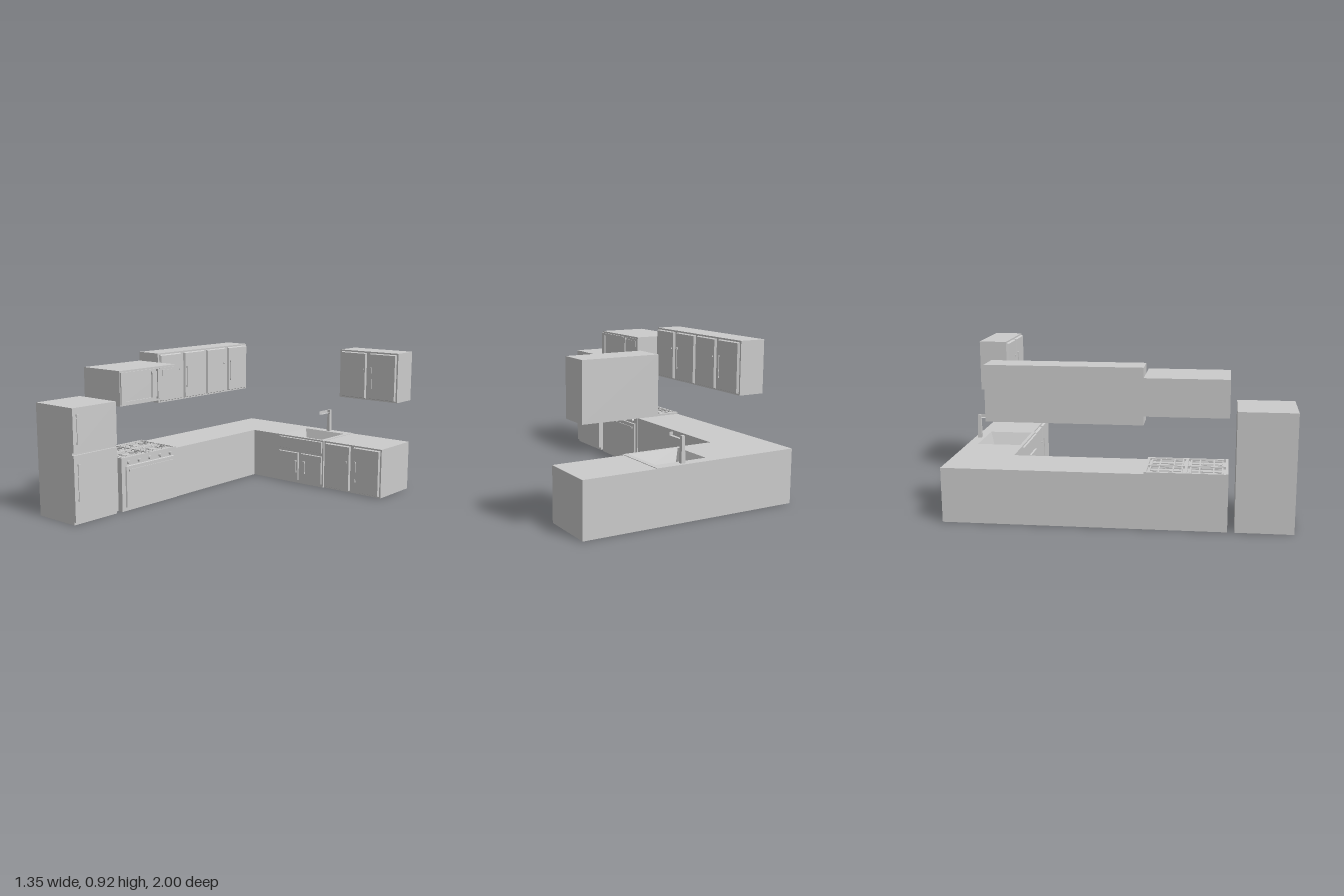
import * as THREE from 'three';

const mat = new THREE.MeshStandardMaterial({ color: 0xcccccc, flatShading: true });
const thin = new THREE.MeshStandardMaterial({ color: 0xcccccc, flatShading: true, side: THREE.DoubleSide });

function add(parent, name, geo, material = mat) {
  const mesh = new THREE.Mesh(geo, material);
  mesh.name = name;
  parent.add(mesh);
  return mesh;
}

// box from its min and max corners
function box(parent, name, x0, x1, y0, y1, z0, z1) {
  const geo = new THREE.BoxGeometry(x1 - x0, y1 - y0, z1 - z0);
  geo.translate((x0 + x1) / 2, (y0 + y1) / 2, (z0 + z1) / 2);
  return add(parent, name, geo);
}

// door slab whose front face is drawn in slightly for a chamfered edge
function slab(parent, name, x0, x1, y0, y1, z0, z1, inset = 0.005) {
  const mesh = box(parent, name, x0, x1, y0, y1, z0, z1);
  const p = mesh.geometry.attributes.position;
  const cx = (x0 + x1) / 2, cy = (y0 + y1) / 2;
  for (let i = 0; i < p.count; i++) {
    if (p.getZ(i) < (z0 + z1) / 2) continue;
    p.setX(i, p.getX(i) - Math.sign(p.getX(i) - cx) * inset);
    p.setY(i, p.getY(i) - Math.sign(p.getY(i) - cy) * inset);
  }
  mesh.geometry.computeVertexNormals();
  return mesh;
}

// upright or level bar handle on two short mounts
function handle(parent, name, x0, x1, y0, y1, z0, z1) {
  const g = new THREE.Group();
  g.name = name;
  const m = (z0 + z1) / 2;
  box(g, 'grip', x0, x1, y0, y1, m, z1);
  if (y1 - y0 > x1 - x0) {
    for (const y of [y0, y1 - 0.012]) box(g, 'mount', x0, x1, y, y + 0.012, z0, m);
  } else {
    for (const x of [x0, x1 - 0.012]) box(g, 'mount', x, x + 0.012, y0, y1, z0, m);
  }
  parent.add(g);
}

// two-door cabinet facing +z
function cabinet(parent, name, x0, x1, y0, y1, z0, z1) {
  const g = new THREE.Group();
  g.name = name;
  box(g, 'carcass', x0, x1, y0, y1, z0, z1);
  const mid = (x0 + x1) / 2, h = y1 - y0, f = z1 + 0.015;
  slab(g, 'leftDoor', x0 + 0.013, mid - 0.013, y0 + 0.008, y1 - 0.01, z1, f);
  slab(g, 'rightDoor', mid + 0.013, x1 - 0.01, y0 + 0.008, y1 - 0.01, z1, f);
  box(g, 'knob', mid - 0.04, mid - 0.03, y0 + h * 0.62, y0 + h * 0.65, f, f + 0.006);
  handle(g, 'doorHandle', mid + 0.028, mid + 0.038, y0 + h * 0.25, y0 + h * 0.68, f, f + 0.008);
  parent.add(g);
}

// four-sided funnel between two rectangles plus its floor
function basin(parent, top, bottom, yTop, yFloor) {
  const ring = ([x0, x1, z0, z1], y) => [[x0, y, z0], [x0, y, z1], [x1, y, z1], [x1, y, z0]];
  const a = ring(top, yTop), b = ring(bottom, yFloor), v = [];
  const quad = (p, q, r, s) => v.push(...p, ...q, ...r, ...p, ...r, ...s);
  for (let i = 0; i < 4; i++) {
    const j = (i + 1) % 4;
    quad(a[i], a[j], b[j], b[i]);
  }
  quad(b[0], b[1], b[2], b[3]);
  const geo = new THREE.BufferGeometry();
  geo.setAttribute('position', new THREE.Float32BufferAttribute(v, 3));
  geo.computeVertexNormals();
  add(parent, 'sinkBasin', geo, thin);
}

export function createModel() {
  const kitchen = new THREE.Group();
  kitchen.name = 'kitchen';

  // L-shaped counter with the sink opening (shape y becomes -z)
  const H = 0.323;
  const outline = [[-0.675, -0.16], [-0.36, -0.16], [-0.36, 0.645], [0.235, 0.645], [0.235, 1], [-0.675, 1]];
  const shape = new THREE.Shape(outline.map(([x, y]) => new THREE.Vector2(x, y)));
  const hole = [[-0.12, 0.665], [-0.12, 0.935], [0.205, 0.935], [0.205, 0.665]];
  shape.holes.push(new THREE.Path(hole.map(([x, y]) => new THREE.Vector2(x, y))));
  const counter = new THREE.ExtrudeGeometry(shape, { depth: H, bevelEnabled: false });
  counter.rotateX(-Math.PI / 2);
  add(kitchen, 'counter', counter);
  box(kitchen, 'counterBase', -0.125, 0.21, 0, 0.01, -0.94, -0.66);

  // sink and tap
  const sink = new THREE.Group();
  sink.name = 'sink';
  kitchen.add(sink);
  basin(sink, [-0.12, 0.205, -0.935, -0.665], [-0.08, 0.165, -0.9, -0.7], H, 0.215);
  const post = add(sink, 'tapPost', new THREE.CylinderGeometry(0.013, 0.018, 0.15, 4, 1).rotateY(Math.PI / 4));
  post.position.set(0.057, 0.398, -0.968);
  box(sink, 'tapSpout', 0.047, 0.067, 0.453, 0.473, -0.86, -0.96);

  // sink cabinet front
  const front = new THREE.Group();
  front.name = 'sinkCabinetFront';
  kitchen.add(front);
  slab(front, 'drawer', -0.135, 0.225, 0.233, 0.313, -0.645, -0.635, 0.003);
  slab(front, 'leftDoor', -0.135, 0.033, 0.02, 0.213, -0.645, -0.635, 0.003);
  slab(front, 'rightDoor', 0.055, 0.225, 0.02, 0.213, -0.645, -0.635, 0.003);
  handle(front, 'leftHandle', -0.005, 0.02, 0.075, 0.16, -0.635, -0.625);
  handle(front, 'rightHandle', 0.068, 0.092, 0.075, 0.16, -0.635, -0.625);

  // cabinets on the back wall
  cabinet(kitchen, 'baseCabinet', 0.235, 0.675, 0, 0.32, -1, -0.658);
  cabinet(kitchen, 'wallCabinet', 0.235, 0.675, 0.6, 0.92, -1, -0.825);

  // side wall run: local x is -z, local z is x
  const side = new THREE.Group();
  side.name = 'sideWall';
  side.rotation.y = Math.PI / 2;
  kitchen.add(side);
  cabinet(side, 'sideCabinetNear', -0.16, 0.285, 0.6, 0.92, -0.675, -0.507);
  cabinet(side, 'sideCabinetFar', 0.285, 0.725, 0.6, 0.92, -0.675, -0.507);

  // microwave
  const oven = new THREE.Group();
  oven.name = 'microwave';
  side.add(oven);
  box(oven, 'microwaveBody', -0.63, -0.16, 0.65, 0.863, -0.675, -0.355);
  for (const [x0, x1] of [[-0.625, -0.592], [-0.368, -0.34]])
    box(oven, 'doorStile', x0, x1, 0.658, 0.852, -0.355, -0.346);
  for (const [y0, y1] of [[0.658, 0.676], [0.838, 0.852]])
    box(oven, 'doorRail', -0.592, -0.368, y0, y1, -0.355, -0.346);
  box(oven, 'controlPanel', -0.3, -0.165, 0.658, 0.852, -0.355, -0.35);
  box(oven, 'display', -0.275, -0.175, 0.8, 0.838, -0.35, -0.346);
  handle(oven, 'microwaveHandle', -0.325, -0.305, 0.665, 0.848, -0.355, -0.34);

  // stove
  const stove = new THREE.Group();
  stove.name = 'stove';
  side.add(stove);
  box(stove, 'stoveBody', -0.63, -0.16, 0, 0.32, -0.675, -0.355);
  slab(stove, 'ovenDoor', -0.6, -0.185, 0.02, 0.282, -0.355, -0.346, 0.003);
  handle(stove, 'ovenHandle', -0.58, -0.205, 0.248, 0.26, -0.346, -0.336);
  for (const x of [-0.575, -0.485, -0.395, -0.305, -0.215]) {
    const knob = add(stove, 'knob', new THREE.CylinderGeometry(0.011, 0.012, 0.016, 12).rotateX(Math.PI / 2));
    knob.position.set(x, 0.302, -0.348);
  }
  for (const x of [-0.63, -0.4, -0.175]) box(stove, 'topRim', x, x + 0.015, 0.32, 0.335, -0.675, -0.355);
  for (const z of [-0.675, -0.523, -0.37]) box(stove, 'topRim', -0.63, -0.16, 0.32, 0.334, z, z + 0.015);

  // burners with their grates
  for (const x of [-0.508, -0.28]) for (const z of [-0.592, -0.439]) {
    const burner = new THREE.Group();
    burner.name = 'burner';
    burner.position.set(x, 0.32, z);
    stove.add(burner);
    add(burner, 'burnerCap', new THREE.CylinderGeometry(0.022, 0.03, 0.008, 16)).position.y = 0.004;
    for (const s of [-1, 1]) {
      box(burner, 'grateBar', -0.09, 0.09, 0.006, 0.013, s * 0.03 - 0.004, s * 0.03 + 0.004);
      box(burner, 'grateBar', s * 0.04 - 0.004, s * 0.04 + 0.004, 0.006, 0.013, -0.06, 0.06);
      box(burner, 'grateFrame', s * 0.09 - 0.004, s * 0.09 + 0.004, 0, 0.013, -0.06, 0.06);
      box(burner, 'grateFrame', -0.09, 0.09, 0, 0.013, s * 0.058 - 0.004, s * 0.058 + 0.004);
    }
  }

  // refrigerator
  const fridge = new THREE.Group();
  fridge.name = 'refrigerator';
  side.add(fridge);
  box(fridge, 'fridgeBody', -1, -0.67, 0, 0.688, -0.675, -0.36);
  box(fridge, 'lowerDoor', -1, -0.67, 0.018, 0.413, -0.36, -0.346);
  box(fridge, 'upperDoor', -1, -0.67, 0.428, 0.688, -0.36, -0.346);
  handle(fridge, 'lowerHandle', -0.975, -0.96, 0.14, 0.36, -0.346, -0.338);
  handle(fridge, 'upperHandle', -0.975, -0.96, 0.475, 0.65, -0.346, -0.338);

  return kitchen;
}
